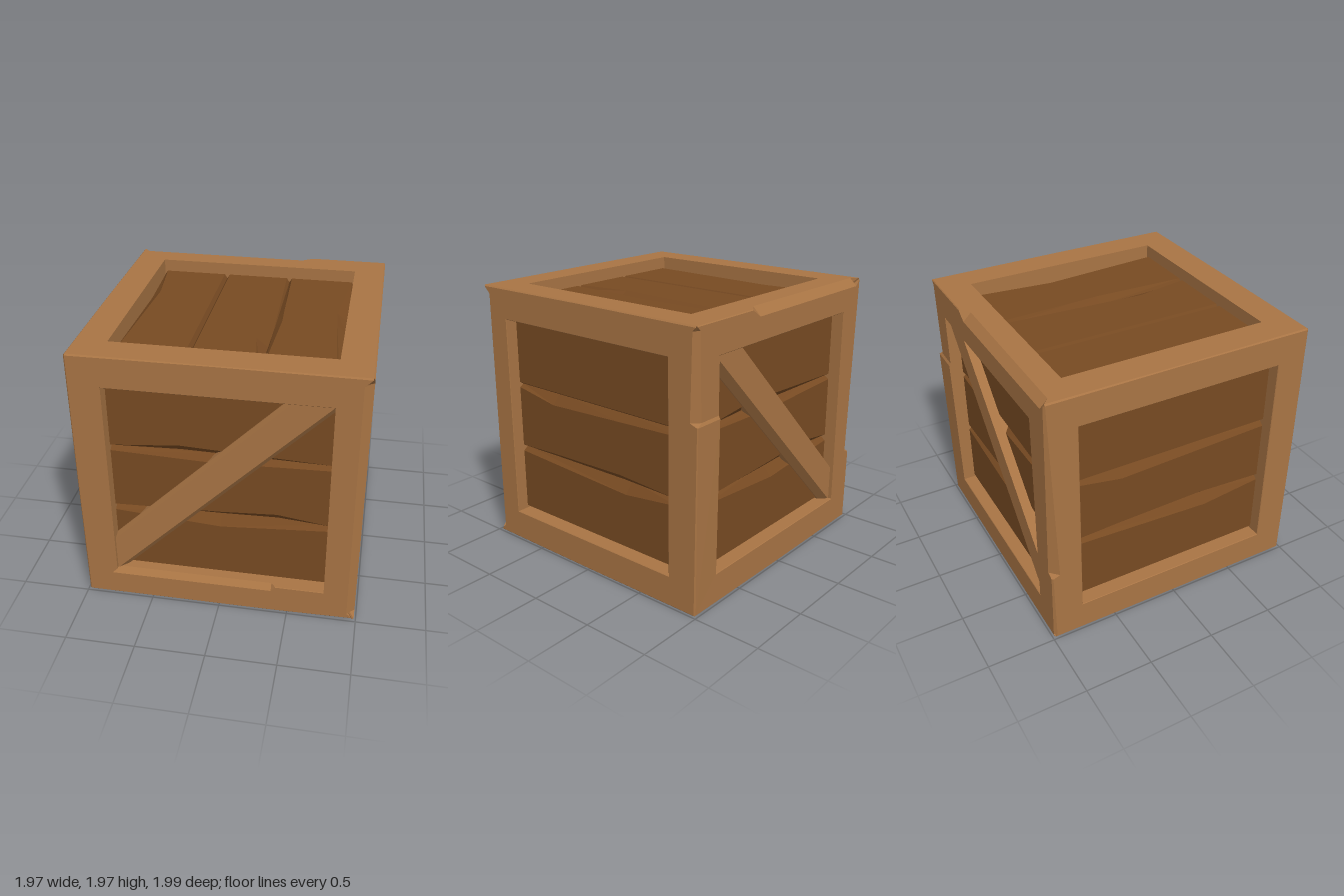
import * as THREE from 'three';

const H = 0.987;  // outer half size
const I = 0.76;   // inner edge of the frame
const P = 0.895;  // plank surface

// Closed flat-shaded skin over a list of equal-length rings, always facing outward
function loft(rings) {
  const n = rings[0].length, pts = rings.flat(), idx = [];
  for (let r = 0; r < rings.length - 1; r++) {
    for (let i = 0; i < n; i++) {
      const j = (i + 1) % n, a = r * n + i, b = r * n + j;
      idx.push(a, b, b + n, a, b + n, a + n);
    }
  }
  const last = (rings.length - 1) * n;
  for (let i = 1; i < n - 1; i++) {
    idx.push(0, i + 1, i, last, last + i, last + i + 1);
  }
  let volume = 0;
  for (let k = 0; k < idx.length; k += 3) {
    volume += pts[idx[k]].dot(pts[idx[k + 1]].clone().cross(pts[idx[k + 2]]));
  }
  if (volume < 0) idx.reverse();
  const indexed = new THREE.BufferGeometry().setFromPoints(pts);
  indexed.setIndex(idx);
  const geo = indexed.toNonIndexed();
  geo.computeVertexNormals();
  return geo;
}

const v3 = (x, y, z) => new THREE.Vector3(x, y, z);

// Mitred beam. Stations: [t, outer chamfer, inner chamfer, outward push]
function beamGeometry(place, stations) {
  return loft(stations.map(([t, c, d = 0.004, push = 0], k) => {
    const end = k === 0 ? -1 : k === stations.length - 1 ? 1 : 0;
    const section = [[I, I], [H - d, I], [H, I + d], [H, H - c], [H - c, H], [I, H]];
    return section.map(([a, b]) =>
      place(end ? end * Math.min(a, b) : t, a, b > I + 0.1 ? b + push : b));
  }));
}

// Plank. Stations: [u, lower bevel, upper bevel]
function plankGeometry(place, v0, v1, stations) {
  return loft(stations.map(([u, lo, hi]) => {
    const drop = (b) => Math.min(0.07, 0.02 + b * 0.6);
    return [
      [v0, 0.78], [v0, P - drop(lo)], [v0 + lo, P],
      [v1 - hi, P], [v1, P - drop(hi)], [v1, 0.78],
    ].map(([v, w]) => place(u, v, w));
  }));
}

export function createModel() {
  const frameWood = new THREE.MeshStandardMaterial({ color: 0xa87444 });
  frameWood.name = 'frameWood';
  const plankWood = new THREE.MeshStandardMaterial({ color: 0x774a22 });
  plankWood.name = 'plankWood';

  const model = new THREE.Group();
  model.name = 'woodenCrate';
  const body = new THREE.Group();
  body.name = 'crateBody';
  body.position.y = 0.993;
  model.add(body);

  const add = (name, geo, mat) => {
    const mesh = new THREE.Mesh(geo, mat);
    mesh.name = name;
    body.add(mesh);
  };

  // Worn edges, by beam
  const plain = [[-H, 0.01], [0, 0.006], [H, 0.01]];
  const wear = {
    'post1,1': [[-H, 0.055], [H, 0.06]],
    'post1,-1': [[-H, 0.01], [0.35, 0.006, 0.004, 0.012], [0.37, 0.05], [H, 0.035]],
    'post-1,-1': [[-H, 0.02], [-0.42, 0.01], [-0.4, 0.06], [H, 0.012]],
    'railX1,-1': [[-H, 0.055], [0.33, 0.06], [0.41, 0.006], [H, 0.006]],
    'railX-1,1': [[-H, 0.01, 0.04], [0.38, 0.01, 0.04], [0.41, 0.01, 0.004], [H, 0.02]],
  };

  // Frame: four posts and eight rails
  for (const s of [1, -1]) {
    for (const q of [1, -1]) {
      const beam = (name, place) =>
        add(name, beamGeometry(place, wear[`${name}${s},${q}`] || plain), frameWood);
      beam('post', (t, a, b) => v3(s * a, t, q * b));
      beam('railX', (t, a, b) => v3(t, s * b, q * a));
      beam('railZ', (t, a, b) => v3(s * a, q * b, t));
    }
  }

  // Plank bevels along each face, lower plank first
  const e = 0.02;
  const straight = [[-I, e, e], [I, e, e]];
  const frontPlanks = [
    [[-I, e, 0.03], [0, e, 0.085], [I, e, 0.03]],
    [[-I, 0.02, 0.025], [0, 0.045, 0.05], [0.4, 0.07, 0.035], [I, 0.02, 0.025]],
    [[-I, 0.02, e], [-0.27, 0.065, e], [I, 0.02, e]],
  ];
  const sidePlanks = [
    [[-I, e, 0.03], [-0.3, e, 0.085], [I, e, 0.03]],
    [[-I, 0.02, 0.04], [-0.24, 0.05, 0.06], [0.4, 0.035, 0.085], [I, 0.02, 0.02]],
    straight,
  ];
  const topPlanks = [
    [[-I, e, e], [-0.33, 0.07, e], [I, e, e]],
    [[-I, e, 0.02], [0.35, e, 0.09], [I, e, 0.02]],
    [[-I, 0.02, e], [-0.15, 0.04, 0.085], [0.05, 0.05, 0.07], [I, 0.02, e]],
  ];
  const faces = [
    ['front', frontPlanks, (u, v, w) => v3(u, v, w)],
    ['back', frontPlanks, (u, v, w) => v3(-u, v, -w)],
    ['left', sidePlanks, (u, v, w) => v3(w, v, u)],
    ['right', sidePlanks, (u, v, w) => v3(-w, v, -u)],
    ['top', topPlanks, (u, v, w) => v3(v, w, u)],
    ['bottom', [straight, straight, straight], (u, v, w) => v3(v, -w, u)],
  ];
  const cuts = [-I, -0.25, 0.25, I];
  for (const [side, planks, place] of faces) {
    planks.forEach((stations, i) =>
      add(`${side}Plank`, plankGeometry(place, cuts[i], cuts[i + 1], stations), plankWood));
  }

  // Diagonal braces, bevelled along the lower edge
  const base = [[-I, -I], [-I, -0.475], [0.475, I], [I, I], [I, 0.69], [-0.69, -I]];
  const face = [[-I, -I], [-I, -0.495], [0.495, I], [I, I], [I, 0.75], [-0.75, -I]];
  for (const s of [1, -1]) {
    const ring = (pts, w) => pts.map(([x, y]) => v3(x, y, s * w));
    add(s > 0 ? 'frontBrace' : 'backBrace',
      loft([ring(base, P - 0.04), ring(base, P + 0.01), ring(face, 0.96)]), frameWood);
  }

  return model;
}
